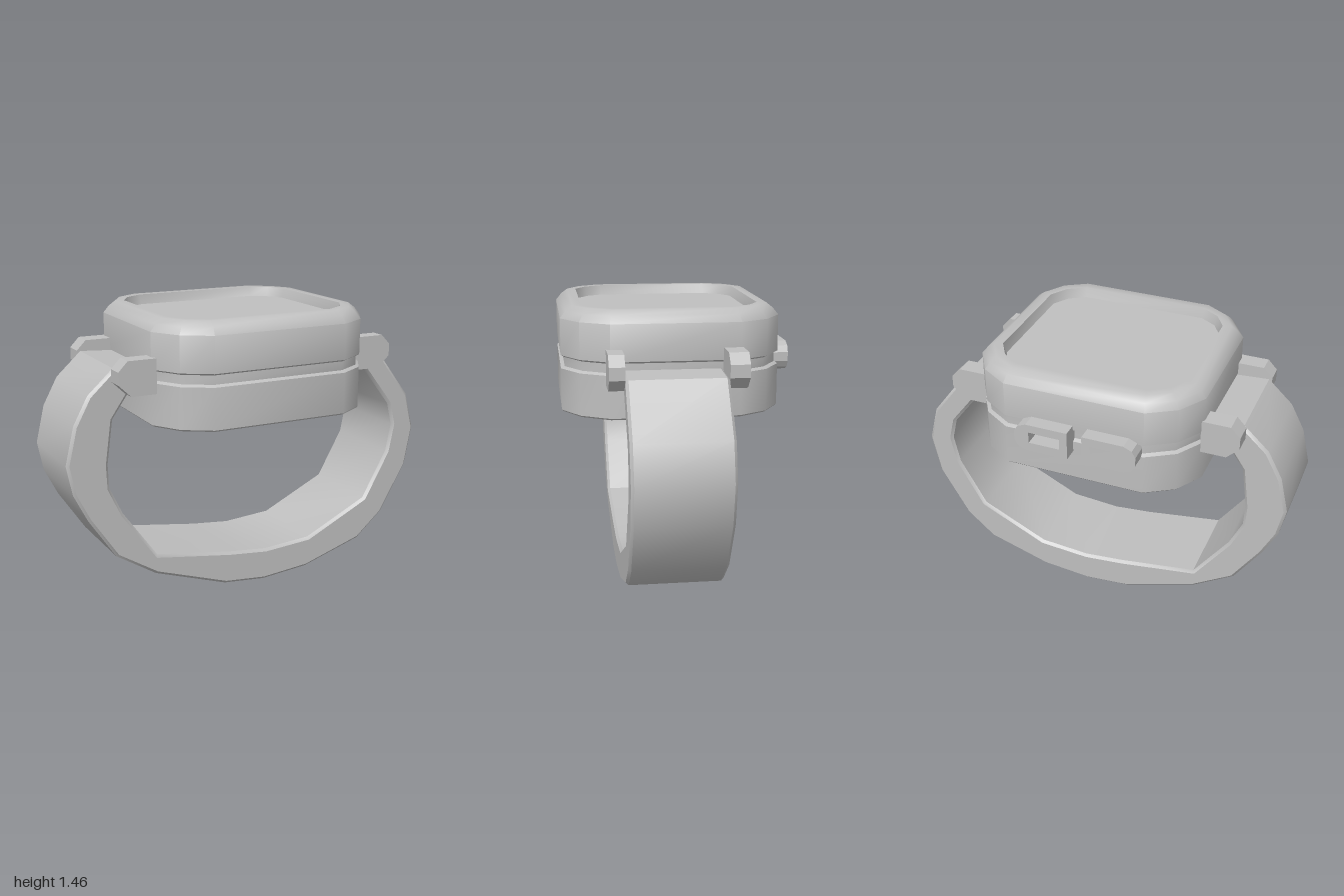
import * as THREE from 'three';
import { toCreasedNormals } from 'three/addons/utils/BufferGeometryUtils.js';

const grey = new THREE.MeshStandardMaterial({ color: 0xbfbfbf });
grey.name = 'plain grey';

function add(group, name, geometry, crease = 0.6) {
  const mesh = new THREE.Mesh(toCreasedNormals(geometry, crease), grey);
  mesh.name = name;
  group.add(mesh);
  return mesh;
}

const shapeOf = (points) => new THREE.Shape(points.map(([x, y]) => new THREE.Vector2(x, y)));

// Extrude an xy shape so that it fills z0..z1, bevel included
function slab(shape, z0, z1, bevel) {
  const g = new THREE.ExtrudeGeometry(shape, {
    depth: z1 - z0 - 2 * bevel, bevelEnabled: bevel > 0, bevelSize: bevel,
    bevelThickness: bevel, bevelOffset: -bevel, bevelSegments: 1,
  });
  return g.translate(0, 0, z0 + bevel);
}

// Chamfered square outline, three points per corner, counter-clockwise from above
function caseLoop(y, inset) {
  const hx = 0.582 - inset, hz = 0.538 - inset, c = 0.225 - 0.75 * inset, m = c * 0.38;
  const corner = [[hx, hz - c], [hx - m, hz - m], [hx - c, hz]];
  const flipped = corner.slice().reverse();
  return [
    ...corner,
    ...flipped.map(([x, z]) => [-x, z]),
    ...corner.map(([x, z]) => [-x, -z]),
    ...flipped.map(([x, z]) => [x, -z]),
  ].map(([x, z]) => [x, y, z + 0.037]);
}

// Skin a stack of loops and close both ends
function loft(loops) {
  const n = loops[0].length, index = [];
  const positions = loops.flat(2);
  for (let r = 0; r < loops.length - 1; r++) {
    for (let i = 0; i < n; i++) {
      const a = r * n + i, b = r * n + (i + 1) % n;
      index.push(a, a + n, b, b, a + n, b + n);
    }
  }
  const last = (loops.length - 1) * n;
  for (let i = 1; i < n - 1; i++) {
    index.push(0, i, i + 1, last, last + i + 1, last + i);
  }
  const g = new THREE.BufferGeometry();
  g.setAttribute('position', new THREE.Float32BufferAttribute(positions, 3));
  g.setIndex(index);
  g.computeVertexNormals();
  return g;
}

export function createModel() {
  const watch = new THREE.Group();
  watch.name = 'wristwatch';

  // Case: lower half, groove, upper half, bevelled rim and sunken screen
  const sections = [
    [0.94, 0.008], [0.948, 0], [1.155, 0], [1.165, 0.018], [1.21, 0.018], [1.22, 0],
    [1.4, 0], [1.435, 0.028], [1.46, 0.06], [1.46, 0.105], [1.41, 0.12],
  ];
  add(watch, 'case', loft(sections.map(([y, inset]) => caseLoop(y, inset))), 0.75);

  // Strap: one faceted band hanging from both sides of the case
  const outer = [
    [-0.58, 1.22], [-0.75, 1.23], [-0.88, 1.11], [-0.955, 0.97], [-1, 0.78], [-0.97, 0.63],
    [-0.9, 0.49], [-0.76, 0.28], [-0.55, 0.15], [-0.16, 0.02], [0.07, 0.0], [0.33, 0.025],
    [0.66, 0.13], [0.81, 0.26], [0.96, 0.52], [1, 0.73], [0.95, 0.92], [0.76, 1.17], [0.58, 1.18],
  ];
  const inner = [
    [0.58, 1.11], [0.65, 1.11], [0.83, 0.88], [0.86, 0.76], [0.83, 0.61], [0.69, 0.36],
    [0.34, 0.19], [0.08, 0.17], [-0.13, 0.19], [-0.54, 0.25], [-0.72, 0.5], [-0.785, 0.64],
    [-0.79, 0.76], [-0.76, 0.98], [-0.67, 1.11], [-0.58, 1.11],
  ];
  add(watch, 'strap', slab(shapeOf([...outer, ...inner]), -0.19, 0.295, 0.014), 0.7);

  // Lugs: four chamfered blocks gripping the strap
  const lugShape = (s) => {
    const pts = [[0.57, 1.108], [0.7, 1.108], [0.763, 1.168], [0.763, 1.23], [0.715, 1.28], [0.57, 1.28]];
    return shapeOf(pts.map(([x, y]) => [x * s, y]));
  };
  for (const [name, s, z0, z1] of [
    ['leftFrontLug', 1, 0.295, 0.37], ['leftBackLug', 1, -0.285, -0.19],
    ['rightFrontLug', -1, 0.295, 0.388], ['rightBackLug', -1, -0.293, -0.19],
  ]) add(watch, name, slab(lugShape(s), z0, z1, 0), 0.3);

  // Side buttons: slotted plates, rounded at their outer ends
  for (const [name, s, x0, x1] of [['leftButton', 1, 0, 0.275], ['rightButton', -1, 0.075, 0.345]]) {
    const plate = shapeOf([
      [x0, 1.1], [x1 - 0.06, 1.1], [x1 - 0.018, 1.118], [x1, 1.15],
      [x1, 1.195], [x1 - 0.018, 1.227], [x1 - 0.06, 1.245], [x0, 1.245],
    ].map(([x, y]) => [x * s, y]));
    const slot = [[x0 + 0.04, 1.145], [x1 - 0.075, 1.145], [x1 - 0.075, 1.203], [x0 + 0.04, 1.203]];
    plate.holes.push(new THREE.Path(slot.map(([x, y]) => new THREE.Vector2(x * s, y))));
    add(watch, name, slab(plate, -0.575, -0.48, 0), 0.3);
  }
  return watch;
}
